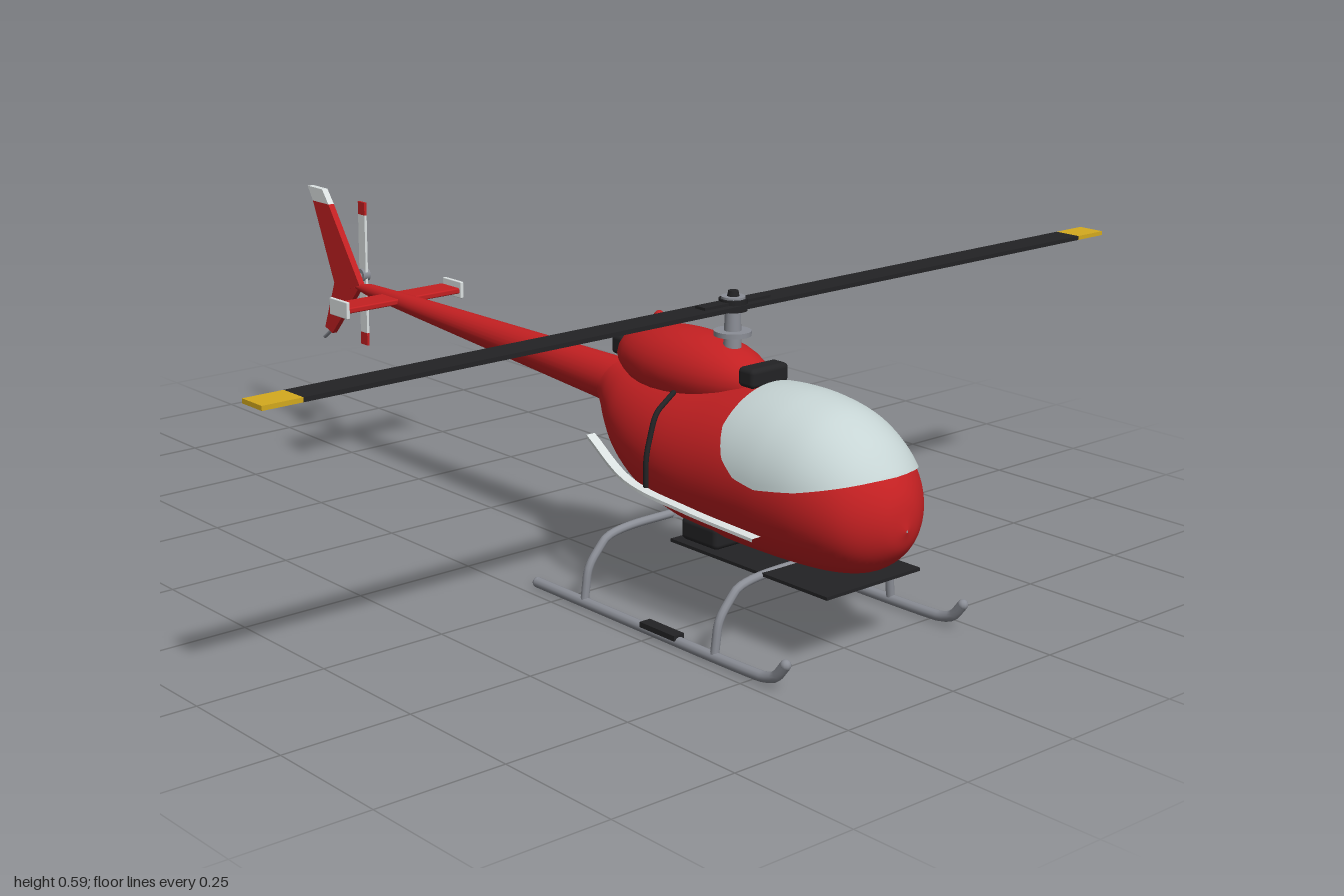
import * as THREE from 'three';
import { mergeVertices } from 'three/addons/utils/BufferGeometryUtils.js';
import { RoundedBoxGeometry } from 'three/addons/geometries/RoundedBoxGeometry.js';

const V = (x, y, z) => new THREE.Vector3(x, y, z);
const material = (name, color) => {
  const m = new THREE.MeshStandardMaterial({ color });
  m.name = name;
  return m;
};

// Smooth skin over a grid of points; rows run front to back, columns run clockwise from the top
function skin(rows, cols, point) {
  const pos = [], index = [];
  for (let i = 0; i <= rows; i++)
    for (let j = 0; j <= cols; j++) pos.push(...point(i / rows, j / cols));
  for (let i = 0; i < rows; i++)
    for (let j = 0; j < cols; j++) {
      const a = i * (cols + 1) + j, c = a + cols + 1;
      index.push(a, a + 1, c, a + 1, c + 1, c);
    }
  let g = new THREE.BufferGeometry();
  g.setAttribute('position', new THREE.Float32BufferAttribute(pos, 3));
  g.setIndex(index);
  g = mergeVertices(g, 1e-5);
  g.computeVertexNormals();
  return g;
}

// Hull sections: z, bottom, top, half width
const SECTIONS = [
  [0.885, 0.25, 0.255, 0.002], [0.872, 0.212, 0.31, 0.045], [0.84, 0.178, 0.358, 0.09],
  [0.8, 0.158, 0.396, 0.118], [0.74, 0.147, 0.428, 0.138], [0.67, 0.143, 0.442, 0.148],
  [0.6, 0.142, 0.444, 0.151], [0.53, 0.143, 0.437, 0.151], [0.45, 0.147, 0.425, 0.148],
  [0.38, 0.157, 0.417, 0.14], [0.3, 0.178, 0.411, 0.121], [0.23, 0.21, 0.407, 0.095],
  [0.18, 0.247, 0.404, 0.068], [0.15, 0.283, 0.402, 0.05], [0.13, 0.315, 0.4, 0.042],
];
const profile = new THREE.CatmullRomCurve3(SECTIONS.map(s => V(s[0], s[1], s[2])), false, 'catmullrom');
const widths = new THREE.CatmullRomCurve3(SECTIONS.map(s => V(s[3], 0, 0)), false, 'catmullrom');
const section = t => {
  const p = profile.getPoint(t);
  return { z: p.x, yc: (p.y + p.z) / 2, h: (p.z - p.y) / 2, w: widths.getPoint(t).x };
};

// Lower edge of the windscreen: z, y
const SILL = [[0.9, 0.34], [0.85, 0.337], [0.75, 0.314], [0.67, 0.303], [0.62, 0.312], [0.585, 0.338], [0.56, 0.385]];
function sillHeight(z) {
  for (let i = 1; i < SILL.length; i++) {
    const [z0, y0] = SILL[i - 1], [z1, y1] = SILL[i];
    if (z >= z1) return THREE.MathUtils.mapLinear(z, z0, z1, y0, y1);
  }
  return SILL[SILL.length - 1][1];
}

export function createModel() {
  const model = new THREE.Group();
  model.name = 'helicopter';
  const red = material('red paint', 0xc42022);
  const glass = material('pale glass', 0xc6d4d4);
  const white = material('white paint', 0xdde3e3);
  const dark = material('black', 0x232325);
  const metal = material('grey metal', 0x8b8e96);
  const yellow = material('yellow paint', 0xd4aa1e);

  const add = (name, geo, mat, x = 0, y = 0, z = 0, parent = model) => {
    const m = new THREE.Mesh(geo, mat);
    m.name = name;
    m.position.set(x, y, z);
    parent.add(m);
    return m;
  };
  const box = (name, mat, w, h, d, x, y, z) => add(name, new THREE.BoxGeometry(w, h, d), mat, x, y, z);
  const rounded = (name, mat, w, h, d, x, y, z) =>
    add(name, new RoundedBoxGeometry(w, h, d, 3, Math.min(w, h, d) * 0.25), mat, x, y, z);
  const rod = (name, mat, r, h, x, y, z, r2 = r) => add(name, new THREE.CylinderGeometry(r2, r, h, 24), mat, x, y, z);
  const ball = (name, mat, r, x, y, z) => add(name, new THREE.SphereGeometry(r, 24, 16), mat, x, y, z);
  // Bent tube with short rounded corners and closed ends
  const tube = (name, mat, r, pts, parent = model) => {
    const path = new THREE.CurvePath();
    let from = pts[0];
    for (let i = 1; i < pts.length - 1; i++) {
      const a = pts[i].clone().lerp(pts[i - 1], 0.3), b = pts[i].clone().lerp(pts[i + 1], 0.3);
      path.add(new THREE.LineCurve3(from, a));
      path.add(new THREE.QuadraticBezierCurve3(a, pts[i], b));
      from = b;
    }
    const last = pts[pts.length - 1];
    path.add(new THREE.LineCurve3(from, last));
    add(name, new THREE.TubeGeometry(path, 48, r, 10), mat, 0, 0, 0, parent);
    for (const p of [pts[0], last]) add(name + 'End', new THREE.SphereGeometry(r, 10, 8), mat, p.x, p.y, p.z, parent);
  };
  // Thin upright plate drawn in the (z, y) plane
  const plate = (name, mat, pts, thick) => {
    const shape = new THREE.Shape(pts.map(([z, y]) => new THREE.Vector2(-z, y)));
    const g = new THREE.ExtrudeGeometry(shape, { depth: thick, bevelEnabled: false });
    g.translate(0, 0, -thick / 2).rotateY(Math.PI / 2);
    return add(name, g, mat);
  };

  // Fuselage and windscreen
  add('fuselage', skin(84, 56, (u, v) => {
    const s = section(u), a = v * Math.PI * 2;
    return [s.w * Math.sin(a), s.yc + s.h * Math.cos(a), s.z];
  }), red);
  const windowEnd = 6.57 / 14;
  add('windscreen', skin(60, 48, (u, v) => {
    const s = section(0.03 + u * (windowEnd - 0.03));
    const lim = Math.acos(THREE.MathUtils.clamp((sillHeight(s.z) - s.yc) / s.h, -1, 1));
    const a = (v * 2 - 1) * lim, o = 0.004;
    return [(s.w + o) * Math.sin(a), s.yc + (s.h + o) * Math.cos(a), s.z + 0.001];
  }), glass).material.side = THREE.DoubleSide;

  // Tail boom: z, centre height, radius
  const boom = [[0.17, 0.357, 0.046], [-0.5, 0.381, 0.021], [-0.66, 0.386, 0.014], [-0.73, 0.386, 0.004]];
  add('tailBoom', skin(3, 28, (u, v) => {
    const [z, y, r] = boom[Math.round(u * 3)], a = v * Math.PI * 2;
    return [r * Math.sin(a), y + r * Math.cos(a), z];
  }), red);

  // Engine cowling with intake, exhaust and beacon
  ball('engineCowling', red, 1, 0, 0.43, 0.355).scale.set(0.083, 0.071, 0.19);
  rounded('airIntake', dark, 0.09, 0.036, 0.04, 0, 0.452, 0.535);
  rounded('exhaust', dark, 0.05, 0.038, 0.035, 0, 0.436, 0.17);
  ball('beacon', red, 0.01, 0, 0.506, 0.26);

  // Main rotor
  const rz = 0.455;
  rod('rotorMast', metal, 0.018, 0.12, 0, 0.5, rz, 0.014);
  rod('swashplate', metal, 0.034, 0.009, 0, 0.512, rz);
  rod('rotorHub', dark, 0.026, 0.022, 0, 0.564, rz);
  box('bladeGrip', dark, 0.16, 0.016, 0.026, 0, 0.563, rz);
  rod('hubRing', metal, 0.022, 0.004, 0, 0.577, rz);
  rod('hubCap', dark, 0.013, 0.02, 0, 0.579, rz, 0.009);
  for (const s of [1, -1]) {
    box('mainBlade', dark, 0.925, 0.008, 0.055, s * 0.4625, 0.562, rz);
    box('bladeTip', yellow, 0.075, 0.008, 0.055, s * 0.9625, 0.562, rz);
  }

  // Stabiliser, fins and tail bumper
  rounded('stabiliser', red, 0.29, 0.012, 0.064, 0, 0.386, -0.57);
  for (const s of [1, -1]) rounded('stabiliserEndPlate', white, 0.008, 0.036, 0.064, s * 0.147, 0.388, -0.565);
  plate('upperFin', red, [[-0.695, 0.392], [-0.805, 0.552], [-0.865, 0.552], [-0.79, 0.38], [-0.74, 0.376]], 0.014);
  plate('upperFinTip', white, [[-0.805, 0.552], [-0.828, 0.582], [-0.884, 0.582], [-0.865, 0.552]], 0.014);
  plate('lowerFin', red, [[-0.7, 0.384], [-0.79, 0.386], [-0.832, 0.275], [-0.805, 0.265]], 0.012);
  tube('tailBumper', metal, 0.004, [V(0, 0.28, -0.805), V(0, 0.262, -0.825), V(0, 0.25, -0.842)]);

  // Tail rotor on the left side of the fin
  ball('tailGearbox', metal, 0.026, 0.02, 0.388, -0.783);
  rod('tailRotorShaft', metal, 0.007, 0.055, 0.047, 0.388, -0.783).rotation.z = Math.PI / 2;
  rod('tailRotorHub', metal, 0.014, 0.018, 0.066, 0.39, -0.783).rotation.z = Math.PI / 2;
  for (const s of [1, -1]) {
    box('tailBlade', white, 0.006, 0.132, 0.024, 0.066, 0.392 + s * 0.066, -0.783);
    box('tailBladeTip', red, 0.006, 0.028, 0.024, 0.066, 0.392 + s * 0.146, -0.783);
  }

  // Belly panel and box
  box('bellyPanel', dark, 0.23, 0.006, 0.39, 0, 0.14, 0.62);
  rounded('bellyBox', dark, 0.2, 0.044, 0.095, 0, 0.163, 0.48);

  // Side parts, built for the left and mirrored by sign
  for (const s of [1, -1]) {
    const side = new THREE.Group();
    side.name = s > 0 ? 'leftSide' : 'rightSide';
    model.add(side);
    tube('doorFrame', dark, 0.005, [V(s * 0.09, 0.405, 0.4), V(s * 0.135, 0.375, 0.402), V(s * 0.157, 0.3, 0.403),
      V(s * 0.155, 0.24, 0.402)], side);
    // Flat pale strake along the cabin
    const strake = new THREE.CatmullRomCurve3([V(0.16, 0.222, 0.69), V(0.167, 0.232, 0.52), V(0.16, 0.245, 0.36),
      V(0.122, 0.288, 0.21)]);
    const corners = [[-0.01, 0.003], [0.01, 0.003], [0.01, -0.003], [-0.01, -0.003], [-0.01, 0.003]];
    const g = skin(24, 4, (u, v) => {
      const p = strake.getPoint(u), c = corners[Math.round(v * 4)];
      return [s * p.x + c[0], p.y + c[1], p.z];
    }).toNonIndexed();
    g.computeVertexNormals();
    add('sideStrake', g, white, 0, 0, 0, side);
    // Landing skid
    tube('skid', metal, 0.01, [V(s * 0.22, 0.013, 0.175), V(s * 0.22, 0.013, 0.77), V(s * 0.22, 0.024, 0.805),
      V(s * 0.22, 0.052, 0.826)], side);
    box('skidStep', dark, 0.024, 0.01, 0.09, s * 0.22, 0.022, 0.52);
  }
  for (const z of [0.655, 0.31])
    tube('skidCrossTube', metal, 0.008, [V(-0.22, 0.015, z), V(-0.212, 0.08, z), V(-0.16, 0.138, z), V(0.16, 0.138, z),
      V(0.212, 0.08, z), V(0.22, 0.015, z)]);
  rod('rearSkidMount', metal, 0.012, 0.05, 0, 0.157, 0.31);

  return model;
}
